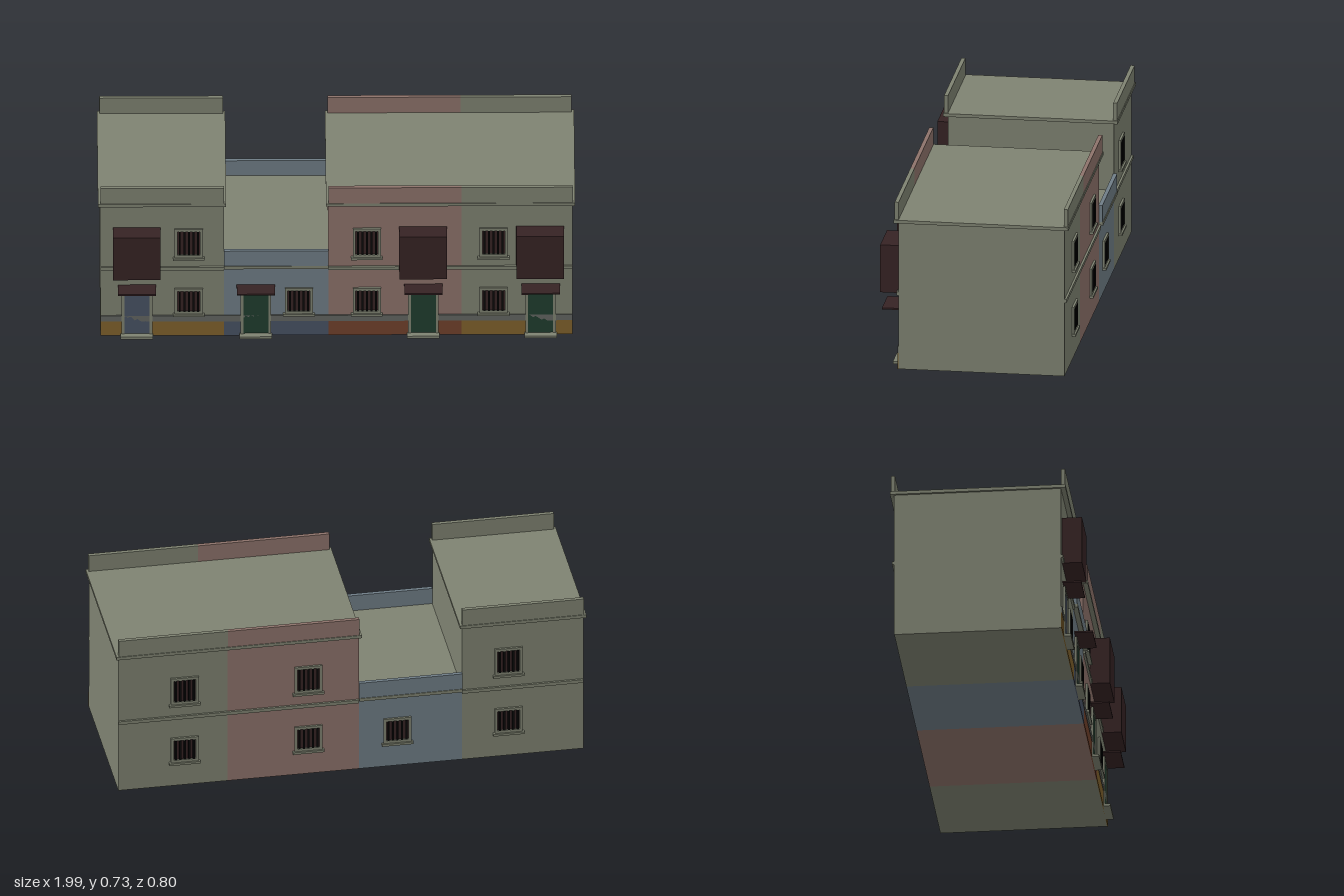
import * as THREE from 'three';

const mat = (name, color) => {
  const m = new THREE.MeshStandardMaterial({ color });
  m.name = name;
  return m;
};

export function createModel() {
  const M = {
    stone: mat('grey green plaster', 0x7f8372),
    pink: mat('dusty pink plaster', 0x8e736b),
    blue: mat('grey blue plaster', 0x707e87),
    ochre: mat('ochre paint', 0x80622c),
    navy: mat('slate blue paint', 0x485264),
    rust: mat('rust paint', 0x71412b),
    green: mat('door green', 0x203d2e),
    brown: mat('dark brown wood', 0x362324),
    grey: mat('grey dado', 0x636661),
    black: mat('black iron', 0x080808),
  };
  const root = new THREE.Group();
  const FRONT = 0.317, BACK = -0.383;

  // Box given by its min and max corners
  const box = (parent, name, m, x0, x1, y0, y1, z0, z1) => {
    const mesh = new THREE.Mesh(new THREE.BoxGeometry(x1 - x0, y1 - y0, z1 - z0), m);
    mesh.position.set((x0 + x1) / 2, (y0 + y1) / 2, (z0 + z1) / 2);
    mesh.name = name;
    parent.add(mesh);
    return mesh;
  };
  const group = (name, x, y, z, back = false) => {
    const g = new THREE.Group();
    g.name = name;
    g.position.set(x, y, z);
    if (back) g.rotation.y = Math.PI;
    root.add(g);
    return g;
  };

  // Surround with an open middle, standing out from the wall
  const surround = (g, name, w, h, t, depth, closed) => {
    box(g, name + 'Left', M.stone, w / 2 - t, w / 2, 0, h, 0, depth);
    box(g, name + 'Right', M.stone, -w / 2, -w / 2 + t, 0, h, 0, depth);
    box(g, name + 'Top', M.stone, -w / 2 + t, w / 2 - t, h - t, h, 0, depth);
    if (closed) box(g, name + 'Bottom', M.stone, -w / 2 + t, w / 2 - t, 0, t, 0, depth);
  };

  // Barred window with sill; y is the bottom of its frame
  const makeWindow = (x, y, h, back) => {
    const g = group(back ? 'backWindow' : 'frontWindow', x, y, back ? BACK : FRONT, back);
    const w = 0.118, t = 0.012;
    surround(g, 'windowFrame', w, h, t, 0.009, true);
    box(g, 'windowPane', M.brown, -w / 2 + t, w / 2 - t, t, h - t, 0, 0.002);
    for (let i = 0; i < 5; i++) {
      const bx = (i - 2) * 0.019;
      box(g, 'windowBar', M.black, bx - 0.004, bx + 0.004, t, h - t, 0.003, 0.011);
    }
    box(g, 'windowSill', M.stone, -0.066, 0.066, -0.01, 0, 0, 0.016);
  };

  // Door with surround, step and small awning
  const makeDoor = (x, m) => {
    const g = group('door', x, 0, FRONT);
    surround(g, 'doorFrame', 0.128, 0.232, 0.012, 0.01, false);
    box(g, 'doorPanel', m, -0.052, 0.052, 0.01, 0.22, 0, 0.006);
    box(g, 'doorStep', M.stone, -0.068, 0.068, 0, 0.011, 0, 0.034);
    box(g, 'doorAwning', M.brown, -0.08, 0.08, 0.241, 0.248, 0, 0.078);
  };

  // Houses: wall blocks, painted skirting, grey dado and parapets
  const houses = [
    { x0: -0.988, x1: -0.472, wall: M.stone, skirt: M.ochre, roof: 0.642, top: 0.732 },
    { x0: -0.472, x1: -0.035, wall: M.blue, skirt: M.navy, roof: 0.335, top: 0.422 },
    { x0: -0.035, x1: 0.522, wall: M.pink, skirt: M.rust, roof: 0.642, top: 0.732 },
    { x0: 0.522, x1: 0.986, wall: M.stone, skirt: M.ochre, roof: 0.642, top: 0.732 },
  ];
  for (const h of houses) {
    const g = group('house', 0, 0, 0);
    box(g, 'walls', h.wall, h.x0, h.x1, 0, h.roof, BACK, FRONT);
    box(g, 'skirting', h.skirt, h.x0, h.x1, 0, 0.07, FRONT, FRONT + 0.004);
    box(g, 'dado', M.grey, h.x0, h.x1, 0.07, 0.098, FRONT, FRONT + 0.006);
    box(g, 'frontParapet', h.wall, h.x0, h.x1, h.roof + 0.013, h.top, FRONT, 0.334);
    box(g, 'backParapet', h.wall, h.x0, h.x1, h.roof + 0.013, h.top, -0.397, -0.38);
  }

  // Roof slabs that form the cornices, and storey bands front and back
  const slabs = [[-0.998, -0.462, 0.642], [-0.472, -0.035, 0.335], [-0.045, 0.996, 0.642]];
  for (const [x0, x1, y] of slabs) {
    box(root, 'roofCornice', M.stone, x0, x1, y, y + 0.014, -0.4, 0.337);
  }
  for (const [x0, x1] of [[-0.988, -0.472], [-0.035, 0.986]]) {
    box(root, 'frontBand', M.stone, x0, x1, 0.323, 0.338, FRONT, 0.326);
    box(root, 'backBand', M.stone, x0, x1, 0.323, 0.338, -0.392, BACK);
  }

  // Windows on the front and the back
  for (const x of [-0.618, -0.158, 0.126, 0.655]) makeWindow(x, 0.108, 0.124, false);
  for (const x of [-0.618, 0.126, 0.655]) makeWindow(x, 0.385, 0.14, false);
  for (const x of [-0.67, -0.198, 0.18, 0.705]) makeWindow(x, 0.115, 0.117, true);
  for (const x of [-0.67, 0.18, 0.705]) makeWindow(x, 0.396, 0.126, true);

  // Doors
  makeDoor(-0.835, M.navy);
  for (const x of [-0.338, 0.362, 0.852]) makeDoor(x, M.green);

  // Enclosed wooden balconies
  for (const x of [-0.836, 0.361, 0.85]) {
    box(root, 'balcony', M.brown, x - 0.1, x + 0.1, 0.322, 0.53, FRONT, 0.4);
  }
  return root;
}
